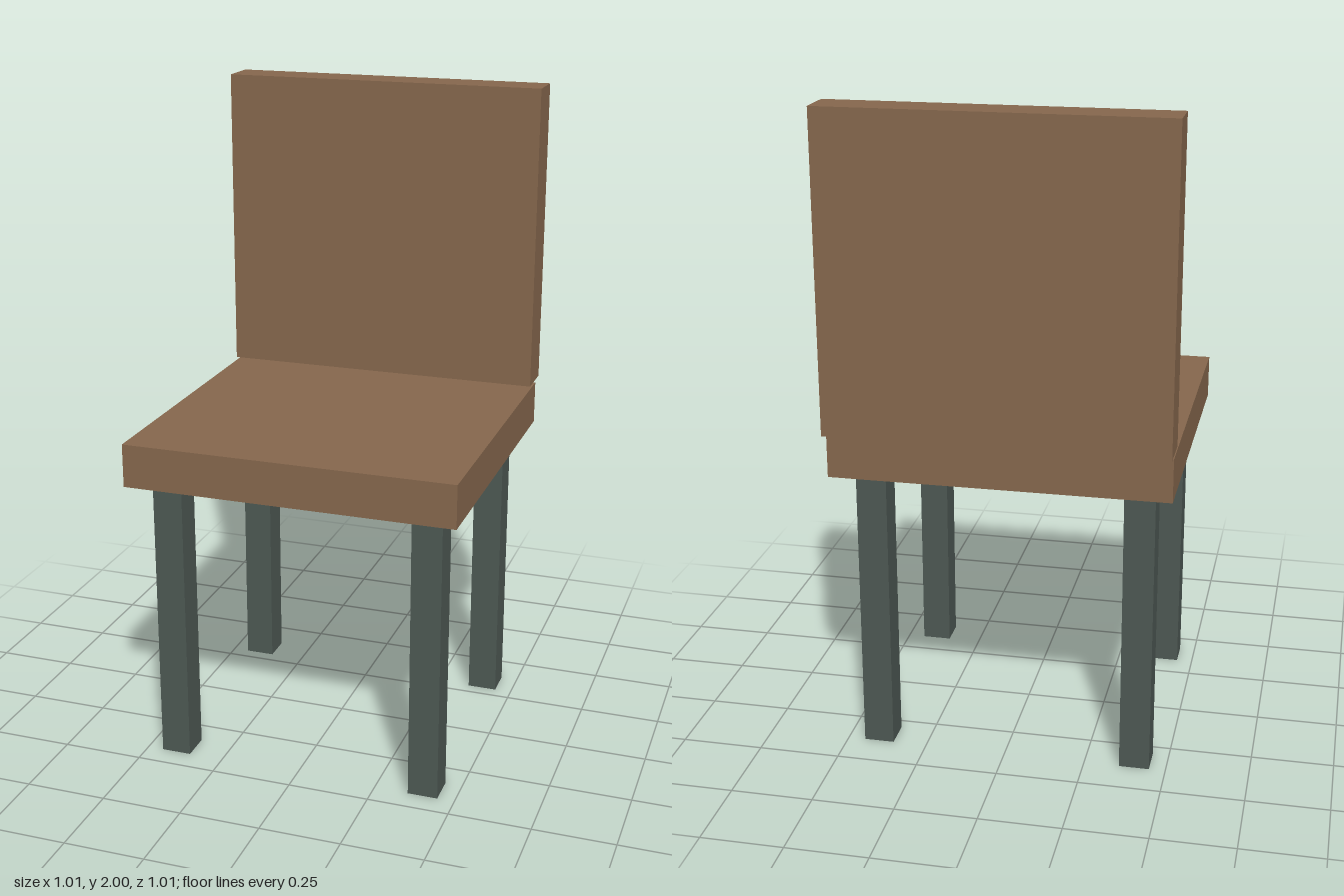
import * as THREE from 'three';

const wood = new THREE.MeshStandardMaterial({ color: 0x84664c });
const metal = new THREE.MeshStandardMaterial({ color: 0x4c5752 });

// Box given by its lower and upper corners
function box(name, material, [x0, y0, z0], [x1, y1, z1]) {
  const mesh = new THREE.Mesh(new THREE.BoxGeometry(x1 - x0, y1 - y0, z1 - z0), material);
  mesh.position.set((x0 + x1) / 2, (y0 + y1) / 2, (z0 + z1) / 2);
  mesh.name = name;
  return mesh;
}

export function createModel() {
  const chair = new THREE.Group();
  chair.name = 'chair';

  // Seat slab, and a backrest floating just above it and overhanging the rear
  chair.add(box('seat', wood, [-0.507, 0.91, -0.462], [0.507, 1.043, 0.507]));
  chair.add(box('backrest', wood, [-0.507, 1.053, -0.507], [0.507, 2, -0.383]));

  // Four square legs
  const half = 0.046;
  for (const [end, z] of [['front', 0.383], ['back', -0.337]]) {
    for (const [side, x] of [['Left', 0.401], ['Right', -0.404]]) {
      chair.add(box(`${end}${side}Leg`, metal,
        [x - half, 0, z - half], [x + half, 0.91, z + half]));
    }
  }
  return chair;
}
